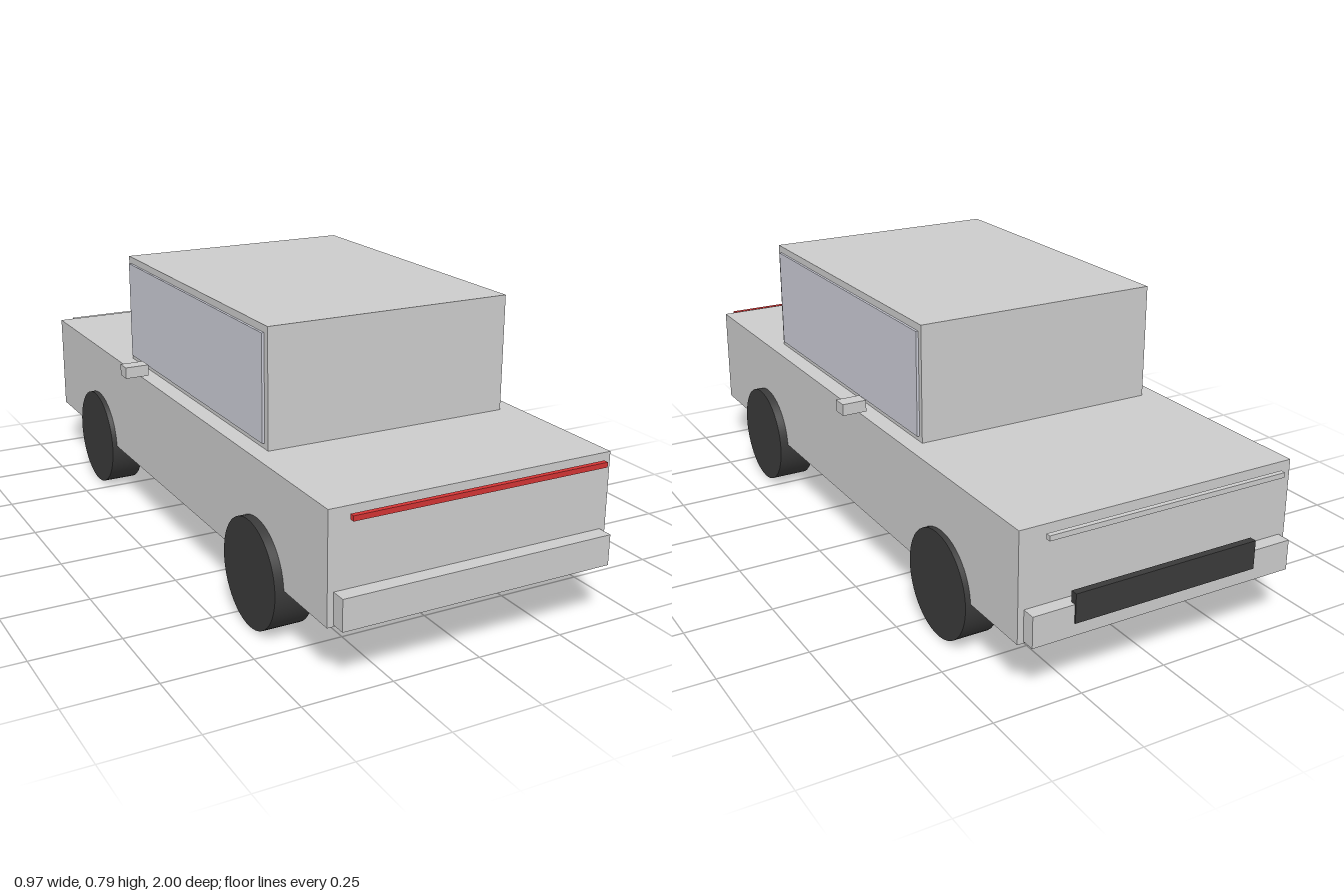
import * as THREE from 'three';

const paint = new THREE.MeshStandardMaterial({ color: 0xcccccc });
const glass = new THREE.MeshStandardMaterial({ color: 0xcbccd6 });
const dark = new THREE.MeshStandardMaterial({ color: 0x3a3a3a });
const red = new THREE.MeshStandardMaterial({ color: 0xd23434 });

export function createModel() {
  const car = new THREE.Group();
  car.name = 'car';

  // Box given by its [min, max] extent on each axis
  const box = (name, [x0, x1], [y0, y1], [z0, z1], material = paint) => {
    const mesh = new THREE.Mesh(new THREE.BoxGeometry(x1 - x0, y1 - y0, z1 - z0), material);
    mesh.position.set((x0 + x1) / 2, (y0 + y1) / 2, (z0 + z1) / 2);
    mesh.name = name;
    car.add(mesh);
  };

  // Body and cabin
  box('body', [-0.41, 0.41], [0.16, 0.46], [-0.957, 0.957]);
  box('cabin', [-0.36, 0.36], [0.46, 0.787], [-0.395, 0.555]);

  // Bumpers
  box('frontBumper', [-0.393, 0.393], [0.165, 0.25], [0.957, 1]);
  box('backBumper', [-0.393, 0.393], [0.165, 0.25], [-0.996, -0.957]);

  // Light bar, trim bar and grille
  box('lightBar', [-0.367, 0.367], [0.438, 0.452], [0.985, 0.999], red);
  box('trimBar', [-0.354, 0.354], [0.438, 0.452], [-1, -0.986]);
  box('grille', [-0.275, 0.275], [0.2, 0.28], [-1, -0.98], dark);

  // Side windows, mirrors and wheels on both sides
  for (const [side, s] of [['left', 1], ['right', -1]]) {
    const span = (a, b) => (s > 0 ? [a, b] : [-b, -a]);
    box(side + 'Window', span(0.352, 0.367), [0.475, 0.767], [-0.38, 0.535], glass);
    box(side + 'Mirror', span(0.414, 0.484), [0.484, 0.517], [-0.169, -0.125]);

    for (const [end, z, inner, outer] of [['Front', 0.588, 0.325, 0.435], ['Back', -0.588, 0.325, 0.425]]) {
      const wheel = new THREE.Mesh(new THREE.CylinderGeometry(0.15, 0.15, outer - inner, 48), dark);
      wheel.rotation.z = Math.PI / 2;
      wheel.position.set(s * (inner + outer) / 2, 0.15, z);
      wheel.name = side + end + 'Wheel';
      car.add(wheel);
    }
  }
  return car;
}
